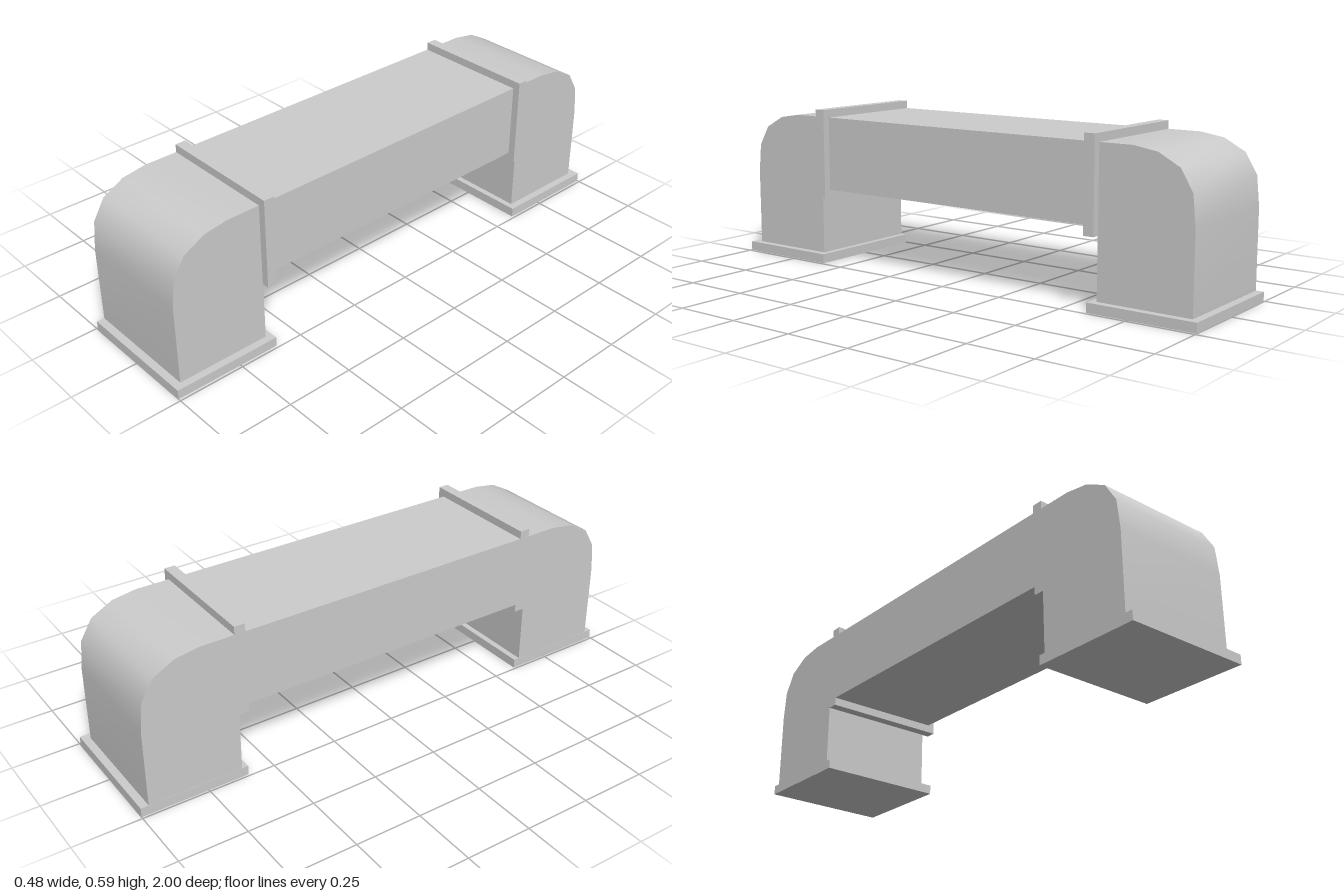
import * as THREE from 'three';
import { toCreasedNormals } from 'three/addons/utils/BufferGeometryUtils.js';

const LEFT = 0.212, RIGHT = -0.241, RIM = 0.24; // duct sides and collar edge in x
const TOP = 0.562;

export function createModel() {
  const model = new THREE.Group();
  const material = new THREE.MeshStandardMaterial({ color: 0xcccccc });

  const add = (name, geometry) => {
    const mesh = new THREE.Mesh(geometry, material);
    mesh.name = name;
    model.add(mesh);
    return mesh;
  };
  // Box given by its extents
  const box = (name, x0, x1, y0, y1, z0, z1) =>
    add(name, new THREE.BoxGeometry(x1 - x0, y1 - y0, Math.abs(z1 - z0)))
      .position.set((x0 + x1) / 2, (y0 + y1) / 2, (z0 + z1) / 2);

  // Straight duct between the two elbows
  box('duct', RIGHT, LEFT, 0.285, TOP, -0.6, 0.6);

  // Elbow side profile: distance outwards, height
  const profile = new THREE.Shape([
    [0.62, 0.03], [0.971, 0.03], [0.971, 0.323], [0.96, 0.43],
    [0.915, 0.505], [0.835, 0.548], [0.745, TOP], [0.62, TOP],
  ].map(([z, y]) => new THREE.Vector2(z, y)));

  for (const [end, s] of [['front', 1], ['back', -1]]) {
    // Rounded elbow down to the ground
    const elbow = new THREE.ExtrudeGeometry(profile, { depth: LEFT - RIGHT, bevelEnabled: false });
    elbow.rotateY(-s * Math.PI / 2);
    elbow.translate(s > 0 ? LEFT : RIGHT, 0, 0);
    add(end + 'Elbow', toCreasedNormals(elbow, 0.7));

    // Collar at the joint and plate on the ground
    box(end + 'Collar', RIGHT, RIM, 0.255, 0.592, s * 0.581, s * 0.621);
    box(end + 'BasePlate', RIGHT - 0.001, RIM, 0, 0.035, s * 0.597, s);
  }
  return model;
}
